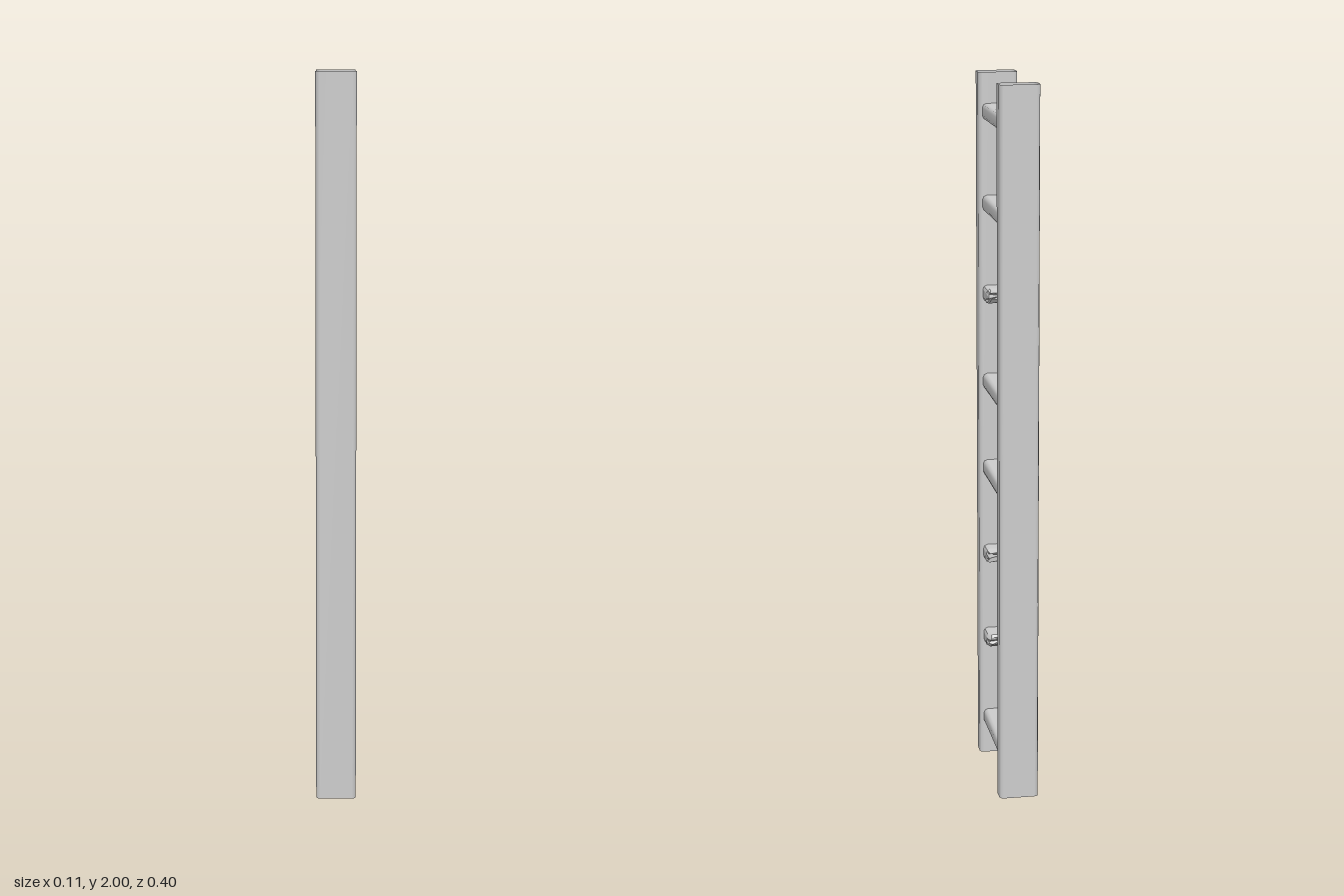
import * as THREE from 'three';

const grey = new THREE.MeshStandardMaterial({ color: 0xcccccc, side: THREE.DoubleSide });
const splinter = new THREE.MeshStandardMaterial({ color: 0xcccccc, side: THREE.DoubleSide, flatShading: true });

// Counter-clockwise rounded rectangle, three points per corner
function outline(halfW, halfH, r) {
  const pts = [];
  for (let c = 0; c < 4; c++) {
    const cx = (c === 0 || c === 3 ? 1 : -1) * (halfW - r);
    const cy = (c < 2 ? 1 : -1) * (halfH - r);
    for (let k = 0; k < 3; k++) {
      const a = (c + k / 2) * Math.PI / 2;
      pts.push([cx + r * Math.cos(a), cy + r * Math.sin(a)]);
    }
  }
  return pts;
}

// Skin between rings of equal length; an optional tip point closes the last ring
function loft(rings, tip) {
  const n = rings[0].length, index = [];
  for (let s = 0; s < rings.length - 1; s++) {
    for (let i = 0; i < n; i++) {
      const a = s * n + i, b = s * n + (i + 1) % n;
      index.push(a, b, b + n, a, b + n, a + n);
    }
  }
  const pos = rings.flat(2);
  if (tip) {
    const last = (rings.length - 1) * n;
    for (let i = 0; i < n; i++) index.push(last + i, last + (i + 1) % n, rings.length * n);
    pos.push(...tip);
  }
  const g = new THREE.BufferGeometry();
  g.setAttribute('position', new THREE.Float32BufferAttribute(pos, 3));
  g.setIndex(index);
  g.computeVertexNormals();
  return g;
}

const railOutline = outline(0.055, 0.0275, 0.011);
const rungOutline = outline(0.044, 0.0225, 0.012);

// Snapped rung growing towards +z from the rail: longer on top, jagged at the end
function brokenRung(length, seed) {
  const face = -0.145;
  const jag = i => 0.014 * Math.sin(seed * 2.3 + i * 2.1);
  const root = rungOutline.map(([x, y]) => [x, y, face - 0.005]);
  const shoulder = rungOutline.map(([x, y], i) =>
    [x, y, face + length * 0.62 + y * 0.5 + jag(i) * 0.7]);
  const end = rungOutline.map(([x, y], i) =>
    [x * 0.86, y * 0.55 + 0.004, face + length * 0.88 + y * 0.5 + jag(i + 1) * 0.6]);
  return loft([root, shoulder, end], [0, 0.002, face + length * 0.72]);
}

export function createModel() {
  const ladder = new THREE.Group();
  ladder.name = 'brokenLadder';
  const add = (name, geometry, material = grey) => {
    const mesh = new THREE.Mesh(geometry, material);
    mesh.name = name;
    ladder.add(mesh);
    return mesh;
  };

  // Hollow, open-ended side rails
  const railGeometry = loft([0, 2].map(y => railOutline.map(([x, v]) => [x, y, -v])));
  for (const side of [1, -1]) {
    add(side > 0 ? 'frontRail' : 'backRail', railGeometry).position.z = side * 0.1725;
  }

  // Evenly spaced rungs; snapped ones list their front and back stub lengths
  const broken = { 1: [0.078, 0.065], 2: [0.062, 0.064], 5: [0.08, 0.078] };
  const rungGeometry = loft([-0.15, 0.15].map(z => rungOutline.map(([x, y]) => [x, y, z])));
  for (let i = 0; i < 8; i++) {
    const y = 0.113 + i * 0.2541;
    if (!broken[i]) {
      add('rung', rungGeometry).position.y = y;
      continue;
    }
    const [front, back] = broken[i];
    const frontStub = add('brokenRungFront', brokenRung(front, i), splinter);
    frontStub.position.y = y;
    frontStub.rotation.y = Math.PI;
    add('brokenRungBack', brokenRung(back, i + 3), splinter).position.y = y;
  }
  return ladder;
}
